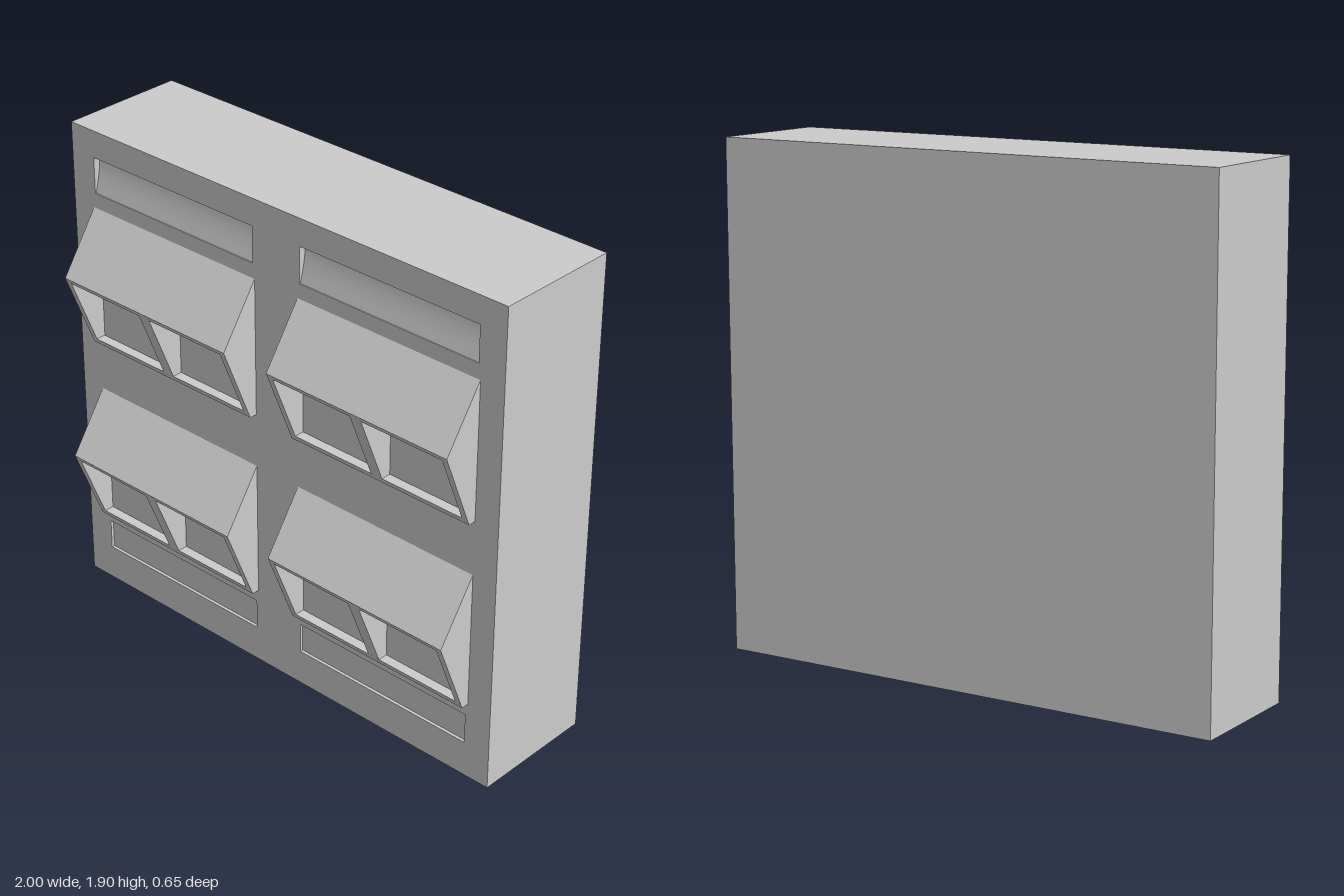
import * as THREE from 'three';

const FRONT = 0.17, BACK = -0.325, PLATE = 0.03;
const material = new THREE.MeshStandardMaterial({ color: 0xcccccc });

function mesh(name, geometry) {
  const m = new THREE.Mesh(geometry, material);
  m.name = name;
  return m;
}

function rect(path, x0, x1, y0, y1) {
  path.moveTo(x0, y0);
  path.lineTo(x1, y0);
  path.lineTo(x1, y1);
  path.lineTo(x0, y1);
  path.closePath();
  return path;
}

// Extrudes a side profile of [z, y] points along x, centred on cx
function slab(name, profile, cx, width) {
  const shape = new THREE.Shape(profile.map(([z, y]) => new THREE.Vector2(-z, y)));
  const g = new THREE.ExtrudeGeometry(shape, { depth: width, bevelEnabled: false });
  g.translate(0, 0, -width / 2).rotateY(Math.PI / 2).rotateY(Math.PI);
  g.rotateY(Math.PI);
  // shape x = -z, so after the quarter turn z points to the front
  g.translate(cx, 0, 0);
  return mesh(name, g);
}

// Slanted display hood: peaked roof, cheeks, divider and sill around two windows
function hood(cx, y0) {
  const group = new THREE.Group();
  group.name = 'hood';
  const z = FRONT - 0.002;
  const cheek = [[z, 0], [0.2, 0], [0.325, 0.31], [z, 0.54]];
  group.add(slab('hoodRoof', [[z, 0.515], [0.318, 0.293], [0.325, 0.31], [z, 0.54]], 0, 0.8));
  group.add(slab('hoodSill', [[z, 0], [0.2, 0], [0.209, 0.022], [z, 0.022]], 0, 0.8));
  for (const side of [-1, 1]) group.add(slab('hoodCheek', cheek, side * 0.3875, 0.025));
  group.add(slab('windowDivider', cheek, 0, 0.05));
  group.position.set(cx, y0, 0);
  return group;
}

export function createModel() {
  const model = new THREE.Group();
  model.name = 'wallPanel';

  // Cabinet behind the front plate
  const depth = FRONT - PLATE - BACK;
  const cabinet = mesh('cabinet', new THREE.BoxGeometry(2, 1.9, depth));
  cabinet.position.set(0, 0.95, BACK + depth / 2);
  model.add(cabinet);

  // Front plate with long slots above and below the hoods
  const face = rect(new THREE.Shape(), -1, 1, 0, 1.9);
  for (const cx of [-0.5, 0.5]) {
    face.holes.push(rect(new THREE.Path(), cx - 0.39, cx + 0.39, 1.655, 1.795));
    face.holes.push(rect(new THREE.Path(), cx - 0.39, cx + 0.39, 0.14, 0.26));
  }
  const plate = mesh('frontPlate', new THREE.ExtrudeGeometry(face, { depth: PLATE, bevelEnabled: false }));
  plate.position.z = FRONT - PLATE;
  model.add(plate);

  for (const cx of [-0.5, 0.5]) {
    // Curved scoop in the upper slot
    const scoop = [[FRONT - PLATE, 1.655]];
    for (let i = 0; i <= 10; i++) {
      const t = i / 10;
      scoop.push([FRONT - 0.004 - 0.024 * Math.sin(t * Math.PI / 2), 1.655 + 0.14 * t]);
    }
    model.add(slab('upperScoop', scoop, cx, 0.78));

    // Shallow flat panel in the lower slot
    const panel = mesh('lowerPanel', new THREE.BoxGeometry(0.78, 0.12, 0.018));
    panel.position.set(cx, 0.2, FRONT - PLATE + 0.009);
    model.add(panel);

    for (const y0 of [0.31, 1.06]) model.add(hood(cx, y0));
  }
  return model;
}
